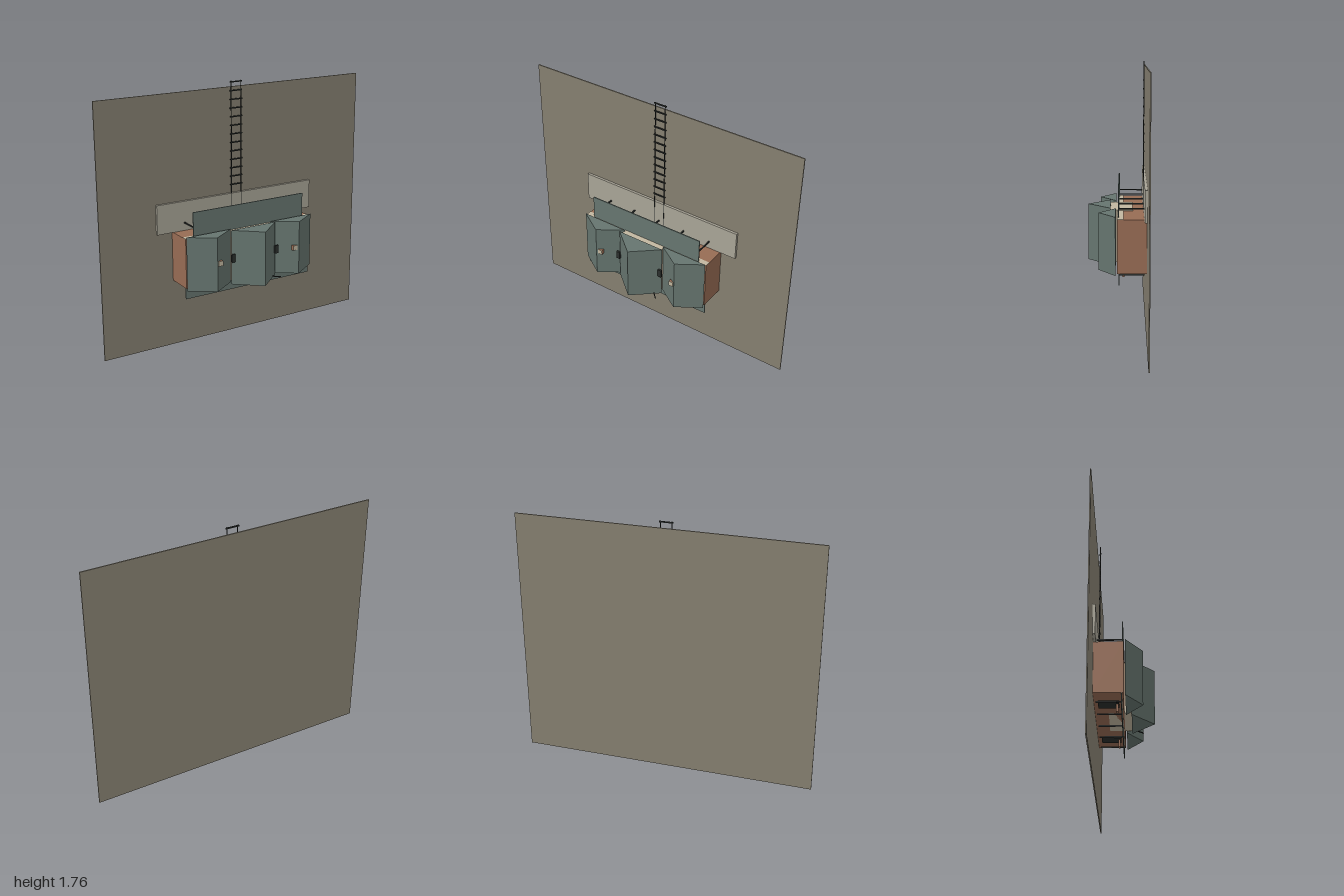
import * as THREE from 'three';

const mat = (color) => new THREE.MeshStandardMaterial({ color });

export function createModel() {
  const model = new THREE.Group();
  const stone = mat(0x857f70), trim = mat(0xa8a496), green = mat(0x66756f);
  const brown = mat(0x976c54), cream = mat(0xc2b7a0), dark = mat(0x2a2e2c);

  const add = (name, geometry, material) => {
    const mesh = new THREE.Mesh(geometry, material);
    mesh.name = name;
    model.add(mesh);
    return mesh;
  };
  // Box given by its limits on each axis
  const box = (name, material, x0, x1, y0, y1, z0, z1) => {
    const mesh = add(name, new THREE.BoxGeometry(x1 - x0, y1 - y0, z1 - z0), material);
    mesh.position.set((x0 + x1) / 2, (y0 + y1) / 2, (z0 + z1) / 2);
    return mesh;
  };
  // Upright prism from a plan outline of [x, z] points
  const prism = (name, material, plan, y0, y1) => {
    const shape = new THREE.Shape(plan.map(([x, z]) => new THREE.Vector2(x, -z)));
    const geometry = new THREE.ExtrudeGeometry(shape, { depth: y1 - y0, bevelEnabled: false });
    geometry.rotateX(-Math.PI / 2).translate(0, y0, 0);
    return add(name, geometry, material);
  };

  // Wall and the backing strip behind the cabinet
  box('wall', stone, -1, 1, 0, 1.717, -0.195, -0.187);
  box('backingStrip', trim, -0.6, 0.6, 0.8, 1.0, -0.187, -0.17);

  // Cabinet body with pale top edge and central core
  box('cabinetBody', brown, -0.485, 0.485, 0.46, 0.8, -0.187, -0.001);
  box('cabinetTopEdge', cream, -0.485, 0.485, 0.8, 0.803, -0.04, -0.001);
  box('centralCore', cream, -0.16, 0.16, 0.46, 0.806, -0.1, 0.05);

  // Screens standing above and hanging below the cabinet
  box('upperScreen', green, -0.425, 0.425, 0.803, 0.97, -0.012, -0.005);
  box('lowerScreen', green, -0.485, 0.485, 0.385, 0.46, -0.016, -0.01);

  // Wedge-shaped front casings
  prism('centralCasing', green, [[-0.172, 0.045], [0, 0.193], [0.172, 0.045]], 0.444, 0.82);

  for (const s of [-1, 1]) {
    prism('sideCasing', green, [[s * 0.485, 0.01], [s * 0.318, 0.118], [s * 0.155, 0.01]], 0.446, 0.816);
    const [a, b] = [s * 0.275, s * 0.308].sort((p, q) => p - q);
    box('lampHousing', brown, a, b, 0.617, 0.65, 0.06, 0.113);
    box('lampFace', cream, a, b, 0.617, 0.65, 0.113, 0.116);
    box('handle', dark, s * 0.17 - 0.014, s * 0.17 + 0.014, 0.605, 0.66, 0.058, 0.071);
    // Short post and tray under the cabinet
    box('lowerPost', brown, s * 0.31 - 0.017, s * 0.31 + 0.017, 0.4, 0.46, -0.048, -0.035);
    box('lowerTray', dark, s * 0.31 - 0.05, s * 0.31 + 0.05, 0.45, 0.46, -0.16, -0.03);
  }

  // Small lever under the front casing
  const lever = add('lever', new THREE.BoxGeometry(0.006, 0.006, 0.066), dark);
  lever.position.set(0.15, 0.45, 0.095);
  lever.rotation.y = Math.PI / 4;

  // Rods holding the screens to the wall
  for (let i = -2; i <= 2; i++) {
    const x = i * 0.2;
    box('upperStay', dark, x - 0.004, x + 0.004, 0.85, 0.858, -0.172, -0.012);
    box('lowerStay', dark, x - 0.004, x + 0.004, 0.43, 0.438, -0.172, -0.016);
  }

  // Ladder: two rails and evenly spaced rungs
  for (const s of [-1, 1]) {
    box('ladderRail', dark, s * 0.037 - 0.002, s * 0.037 + 0.002, 0.8, 1.757, -0.174, -0.169);
  }
  for (let i = 0; i < 13; i++) {
    const y = 1.06 + i * 0.0575;
    box('ladderRung', dark, -0.046, 0.046, y - 0.004, y + 0.004, -0.175, -0.168);
  }
  return model;
}
